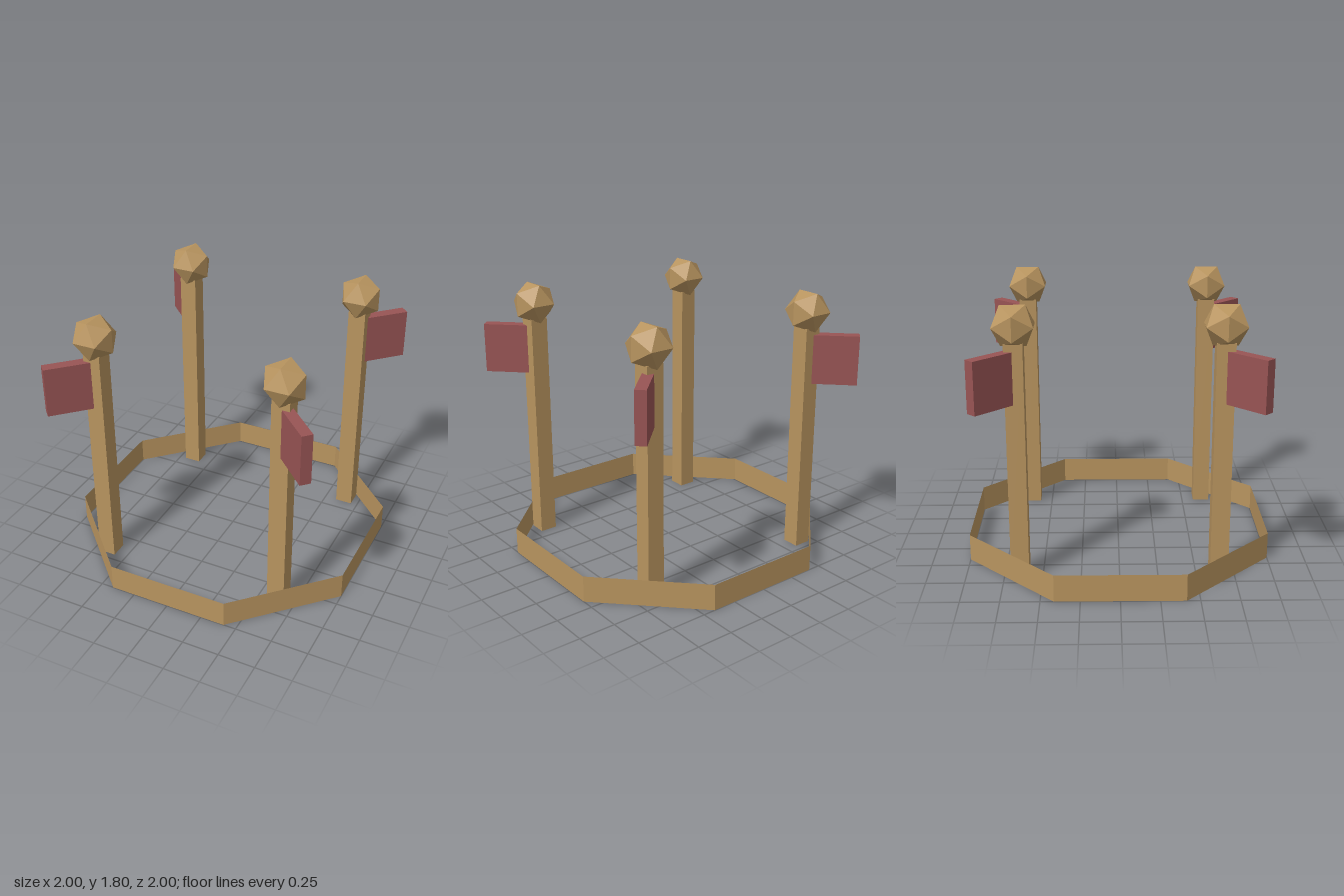
import * as THREE from 'three';

export function createModel() {
  const model = new THREE.Group();
  model.name = 'cornerPostsWithRing';

  const wood = new THREE.MeshStandardMaterial({ color: 0xb8945f, flatShading: true });
  wood.name = 'wood';
  const ringWood = wood.clone();
  ringWood.side = THREE.DoubleSide;
  ringWood.name = 'wood open surface';
  const red = new THREE.MeshStandardMaterial({ color: 0x985454, flatShading: true });
  red.name = 'dull red';

  const add = (parent, name, geometry, material, y) => {
    const mesh = new THREE.Mesh(geometry, material);
    mesh.name = name;
    mesh.position.y = y;
    parent.add(mesh);
    return mesh;
  };

  // Open eight-sided band on the ground, flat sides facing the axes
  const ringHeight = 0.18;
  const ringRadius = 1 / Math.cos(Math.PI / 8);
  const ringGeometry = new THREE.CylinderGeometry(ringRadius, ringRadius, ringHeight, 8, 1, true);
  ringGeometry.rotateY(Math.PI / 8);
  add(model, 'baseRing', ringGeometry, ringWood, ringHeight / 2);

  // Shared post, knob and flag shapes
  const postHeight = 1.57;
  const postGeometry = new THREE.BoxGeometry(0.118, postHeight, 0.118);
  const knobGeometry = new THREE.IcosahedronGeometry(0.15, 0).rotateY(Math.PI / 2);
  const flagLength = 0.345;
  const flagGeometry = new THREE.BoxGeometry(flagLength, 0.334, 0.072);
  flagGeometry.translate(flagLength / 2, 0, 0);

  // One post at each corner, its flag pointing diagonally outward
  for (const sx of [-1, 1]) {
    for (const sz of [-1, 1]) {
      const corner = new THREE.Group();
      corner.name = `${sz > 0 ? 'front' : 'back'}${sx > 0 ? 'Left' : 'Right'}Post`;
      corner.position.set(sx * 0.644, 0, sz * 0.644);
      add(corner, 'post', postGeometry, wood, postHeight / 2);
      add(corner, 'knob', knobGeometry, wood, 1.67);
      add(corner, 'flag', flagGeometry, red, 1.351).rotation.y = Math.atan2(-sz, sx);
      model.add(corner);
    }
  }
  return model;
}
